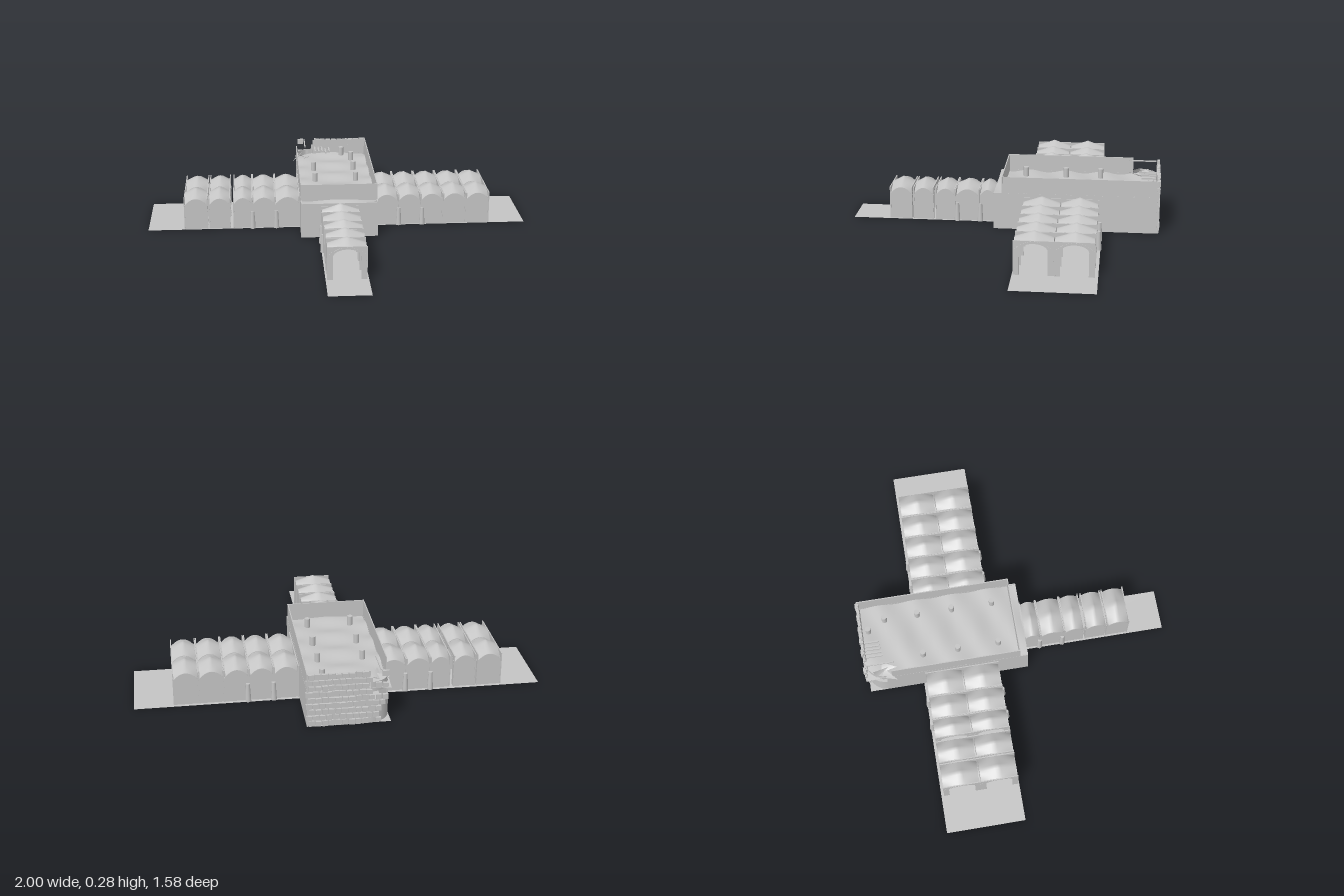
import * as THREE from 'three';

const stone = new THREE.MeshStandardMaterial({ color: 0xc4c4c4, side: THREE.DoubleSide });
stone.name = 'grey stone';

const SPRING = 0.128, RISE = 0.04, CROWN = 0.033, TOP = 0.17;

function add(parent, name, geometry, x = 0, y = 0, z = 0) {
  const mesh = new THREE.Mesh(geometry, stone);
  mesh.name = name;
  mesh.position.set(x, y, z);
  parent.add(mesh);
  return mesh;
}
const box = (parent, name, w, h, d, x, y, z) => add(parent, name, new THREE.BoxGeometry(w, h, d), x, y, z);

const extrude = (shape, depth) => {
  const g = new THREE.ExtrudeGeometry(shape, { depth, bevelEnabled: false, curveSegments: 10 });
  return g.translate(0, 0, -depth / 2);
};

// Rectangular plate with round-headed openings reaching the floor
function archPlate(x0, x1, height, openings, depth) {
  const s = new THREE.Shape();
  s.moveTo(x0, 0);
  for (const [c, half, spring, rise] of openings) {
    s.lineTo(c - half, 0);
    s.lineTo(c - half, spring);
    s.absellipse(c, spring, half, rise, Math.PI, 0, true);
    s.lineTo(c + half, 0);
  }
  s.lineTo(x1, 0);
  s.lineTo(x1, height);
  s.lineTo(x0, height);
  s.closePath();
  return extrude(s, depth);
}

// Domed vault: arched on its four edges, rising in straight ridges to the crown
function vaultGeometry(length, width) {
  const g = new THREE.PlaneGeometry(2, 2, 12, 12).rotateX(-Math.PI / 2);
  const p = g.attributes.position;
  for (let i = 0; i < p.count; i++) {
    const u = p.getX(i), v = p.getZ(i);
    const y = SPRING + RISE * (1 - u * u * v * v) + CROWN * (1 - Math.abs(u)) * (1 - Math.abs(v));
    p.setXYZ(i, u * length / 2, y, v * width / 2);
  }
  g.computeVertexNormals();
  return g;
}

// Side wall whose top follows the vault's edge arch
function sideWall(length) {
  const s = new THREE.Shape();
  s.moveTo(-length / 2, 0);
  s.lineTo(length / 2, 0);
  for (let i = 0; i <= 12; i++) {
    const u = 1 - i / 6;
    s.lineTo(u * length / 2, SPRING + RISE * (1 - u * u));
  }
  s.closePath();
  return extrude(s, 0.005);
}

// One bay running along local x from a to b, centred on z
function addBay(parent, a, b, z, width) {
  const bay = new THREE.Group();
  bay.name = 'vaultedBay';
  bay.position.set((a + b) / 2, 0, z);
  const length = b - a;
  add(bay, 'vault', vaultGeometry(length, width));
  for (const side of [-1, 1]) {
    add(bay, 'sideWall', sideWall(length), 0, 0, side * width / 2);
    const plate = archPlate(-width / 2 - 0.005, width / 2 + 0.005, TOP,
      [[0, width * 0.37, 0.12, 0.036]], 0.005);
    add(bay, 'archFrame', plate, side * (length / 2 - 0.003)).rotation.y = Math.PI / 2;
  }
  parent.add(bay);
}

// Tapered half-buried buttress
const addButtress = (parent, x, z) =>
  add(parent, 'buttress', new THREE.CylinderGeometry(0.01, 0.015, 0.095, 10), x, 0.0475, z);

export function createModel() {
  const model = new THREE.Group();
  model.name = 'vaultedHall';
  let seed = 7;
  const rand = () => (seed = (seed * 16807) % 2147483647) / 2147483647;

  // Cross-shaped floor
  const floor = new THREE.Shape();
  [[-1, -0.5], [-0.2, -0.5], [-0.2, -0.78], [0.2, -0.78], [0.2, -0.5], [1, -0.5], [1, -0.1], [0.2, -0.1],
    [0.2, 0.05], [0.105, 0.05], [0.105, 0.79], [-0.105, 0.79], [-0.105, 0.05], [-0.2, 0.05], [-0.2, -0.1],
    [-1, -0.1]].forEach(([x, z], i) => (i ? floor.lineTo(x, -z) : floor.moveTo(x, -z)));
  add(model, 'floor', new THREE.ShapeGeometry(floor).rotateX(-Math.PI / 2), 0, 0.001, 0);

  // Side wings, each with two rows of bays
  const bays = {
    leftWing: [[0.2, 0.322], [0.322, 0.442], [0.442, 0.562], [0.562, 0.685], [0.685, 0.81]],
    rightWing: [[-0.81, -0.685], [-0.68, -0.567], [-0.552, -0.45], [-0.45, -0.33], [-0.33, -0.2]],
  };
  for (const [name, list] of Object.entries(bays)) {
    const wing = new THREE.Group();
    wing.name = name;
    for (const [a, b] of list) for (const z of [-0.39, -0.2]) addBay(wing, a, b, z, 0.18);
    const s = name === 'leftWing' ? 1 : -1;
    for (const x of [0.325, 0.45]) for (const z of [-0.49, -0.105]) addButtress(wing, s * x, z);
    model.add(wing);
  }

  // Front corridor with a single row
  const corridor = new THREE.Group();
  corridor.name = 'frontCorridor';
  corridor.rotation.y = -Math.PI / 2;
  for (const [a, b] of [[0.05, 0.135], [0.135, 0.26], [0.26, 0.363], [0.373, 0.48], [0.485, 0.602]])
    addBay(corridor, a, b, 0, 0.185);
  for (const x of [0.13, 0.25]) for (const z of [-0.097, 0.097]) addButtress(corridor, x, z);
  model.add(corridor);

  // Hall: lower walls with arches into the wings and corridor
  const hall = new THREE.Group();
  hall.name = 'hall';
  model.add(hall);
  for (const s of [-1, 1]) {
    const wall = archPlate(-0.05, s > 0 ? 0.78 : 0.68, 0.19, [[0.2, 0.068, 0.12, 0.038], [0.39, 0.068, 0.12, 0.038]], 0.006);
    add(hall, 'lowerSideWall', wall, s * 0.197).rotation.y = Math.PI / 2;
    const depth = s > 0 ? 0.79 : 0.66;
    box(hall, 'upperSideWall', 0.005, 0.09, depth, s * 0.197, 0.23, 0.01 - depth / 2);
  }
  add(hall, 'lowerFrontWall', archPlate(-0.2, 0.2, 0.185, [[0, 0.085, 0.115, 0.045]], 0.006), 0, 0, 0.047);
  box(hall, 'upperFrontWall', 0.4, 0.09, 0.005, 0, 0.23, 0.008);
  box(hall, 'backWall', 0.3, 0.27, 0.004, 0.05, 0.135, -0.772);

  // Gently undulating vault deck between the upper walls
  const deck = new THREE.PlaneGeometry(0.4, 0.83, 16, 32).rotateX(-Math.PI / 2);
  const p = deck.attributes.position;
  for (let i = 0; i < p.count; i++) {
    const x = p.getX(i), z = p.getZ(i) - 0.365;
    p.setXYZ(i, x, 0.187 + 0.008 * Math.cos(x * 14) * Math.cos((z + 0.2) * 33), z);
  }
  deck.computeVertexNormals();
  add(hall, 'deck', deck);

  // Columns rising through the deck
  for (const [x, z] of [[-0.11, -0.48], [-0.11, -0.3], [-0.11, -0.09], [0.11, -0.65], [0.11, -0.48],
    [0.11, -0.3], [0.11, -0.09], [0.06, -0.74]])
    add(hall, 'column', new THREE.CylinderGeometry(0.014, 0.014, 0.235, 12), x, 0.1175, z);

  // Uneven masonry blocks facing the back
  const cols = 12, rows = 9;
  for (let r = 0; r < rows; r++) for (let c = 0; c < cols; c++) {
    const x = -0.18 + (c + 0.5 + (r % 2 ? 0.2 : -0.2)) * 0.38 / cols;
    const y = (r + 0.5) * 0.275 / rows;
    if (x < -0.1 && rand() < 0.35) continue;
    const block = box(hall, 'masonryBlock', 0.023 + rand() * 0.009, 0.021 + rand() * 0.008, 0.014,
      x, y, -0.782 + rand() * 0.006);
    block.rotation.z = (rand() - 0.5) * 0.12;
  }

  // Broken corner: curved remnants, shards and fallen beams
  for (const [y, h] of [[0.06, 0.12], [0.19, 0.05]])
    add(hall, 'cornerRemnant', new THREE.CylinderGeometry(0.1, 0.1, h, 8, 1, true, Math.PI, Math.PI / 2),
      -0.1, y, -0.68);
  for (let i = 0; i < 5; i++)
    box(hall, 'fallenBeam', 0.008, 0.008, 0.07 + rand() * 0.04, -0.09 + i * 0.02, 0.215 + rand() * 0.02, -0.73);
  for (const [x, z, turn] of [[-0.2, -0.66, 0.7], [-0.165, -0.7, -0.5], [-0.15, -0.66, 0.2]]) {
    const shard = add(hall, 'shard', new THREE.ConeGeometry(0.03, 0.08, 3), x, 0.2, z);
    shard.scale.z = 0.15;
    shard.rotation.set(1.3, turn, turn);
  }
  box(hall, 'loosePlank', 0.006, 0.006, 0.14, -0.15, 0.273, -0.7);

  // Torn banners hanging inside
  for (const [z, half, tip, notch] of [[-0.195, 0.035, 0.055, 0.08], [-0.39, 0.032, 0.12, 0.05]]) {
    const s = new THREE.Shape();
    [[-half, 0.18], [half, 0.18], [half * (tip < notch ? 1 : 0.5), tip], [0, notch],
      [-half * (tip < notch ? 1 : 0.5), tip]].forEach(([a, b], i) => (i ? s.lineTo(a, b) : s.moveTo(a, b)));
    add(hall, 'tornBanner', new THREE.ShapeGeometry(s), 0, 0, z).rotation.y = Math.PI / 2;
  }

  // Rubble on the hall floor
  for (let i = 0; i < 26; i++) {
    const h = 0.015 + rand() * 0.02;
    add(hall, 'rubble', new THREE.ConeGeometry(0.009, h, 4), (rand() - 0.5) * 0.3, h / 2, -0.13 - rand() * 0.34);
  }
  return model;
}
